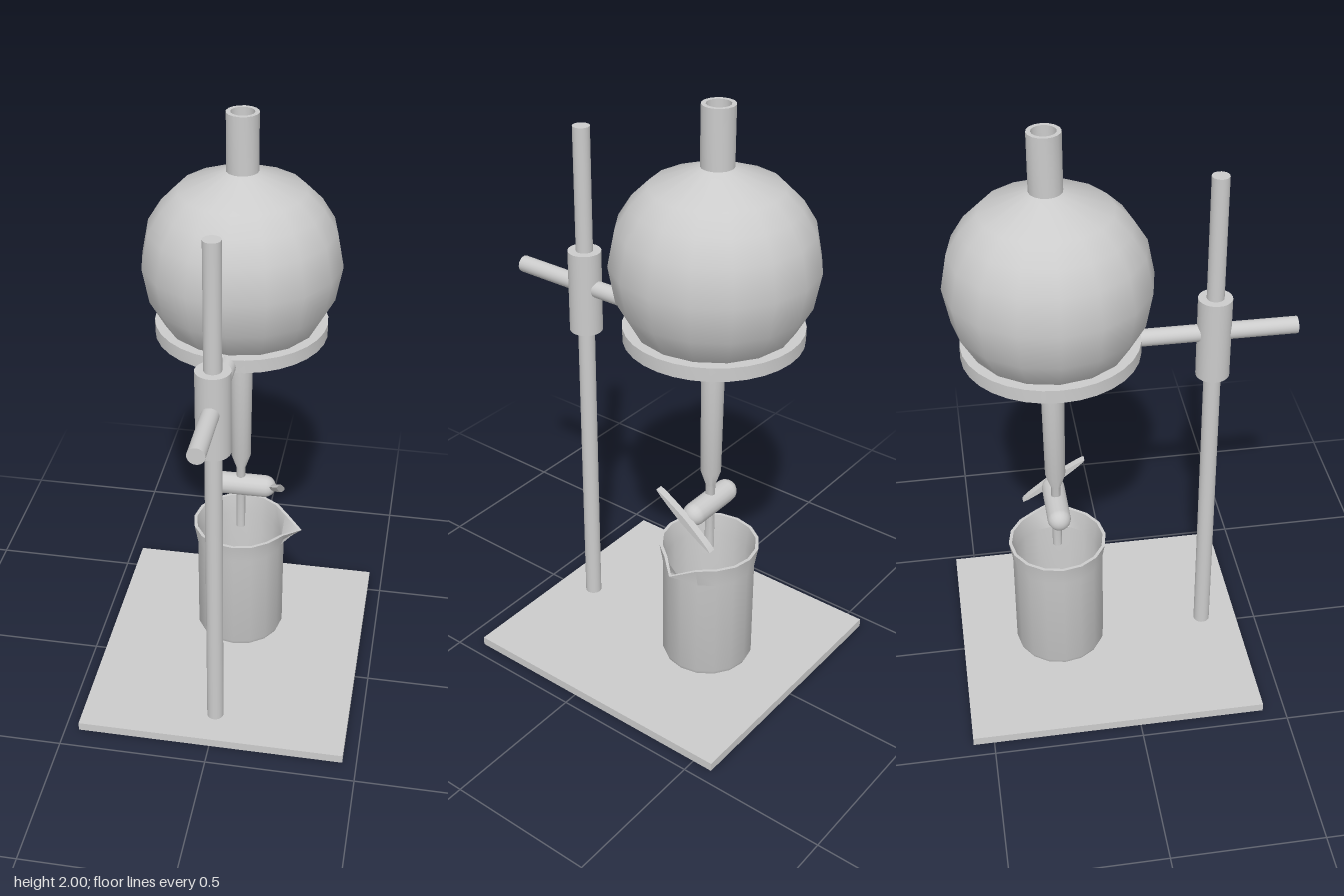
import * as THREE from 'three';
import { toCreasedNormals } from 'three/addons/utils/BufferGeometryUtils.js';

const AXIS_Z = -0.22; // funnel, stopcock and beaker share this axis
const material = new THREE.MeshStandardMaterial({ color: 0xcccccc });

function part(name, geometry, x = 0, y = 0, z = 0) {
  const mesh = new THREE.Mesh(geometry, material);
  mesh.name = name;
  mesh.position.set(x, y, z);
  return mesh;
}

const lathe = (profile, sides) =>
  new THREE.LatheGeometry(profile.map(([r, y]) => new THREE.Vector2(r, y)), sides);

const crease = (geometry) => toCreasedNormals(geometry, 0.75);

// Rim vertices near +x are drawn out and dipped to form the pouring lip
function beakerGeometry() {
  const geometry = lathe([
    [0, 0.03], [0.15, 0.03], [0.156, 0.045], [0.156, 0.41], [0.168, 0.48],
    [0.157, 0.48], [0.146, 0.41], [0.146, 0.045], [0, 0.045],
  ], 16);
  const p = geometry.attributes.position;
  for (let i = 0; i < p.count; i++) {
    if (p.getY(i) < 0.45) continue;
    const angle = Math.abs(Math.atan2(p.getZ(i), p.getX(i)));
    const pull = Math.max(0, 1 - angle / 0.45);
    p.setX(i, p.getX(i) + 0.052 * pull);
    p.setY(i, p.getY(i) - 0.017 * pull);
  }
  return crease(geometry);
}

// Thin lens-shaped blade, extruded across its width
function handleGeometry() {
  const shape = new THREE.Shape();
  shape.moveTo(-0.134, 0);
  shape.quadraticCurveTo(-0.12, -0.008, 0, -0.013);
  shape.quadraticCurveTo(0.12, -0.008, 0.134, 0);
  shape.quadraticCurveTo(0.12, 0.008, 0, 0.013);
  shape.quadraticCurveTo(-0.12, 0.008, -0.134, 0);
  const geometry = new THREE.ExtrudeGeometry(shape, { depth: 0.025, bevelEnabled: false, curveSegments: 6 });
  geometry.translate(0, 0, -0.0125);
  geometry.rotateZ(-0.625);
  geometry.rotateY(Math.PI / 2);
  return crease(geometry);
}

export function createModel() {
  const group = new THREE.Group();
  group.name = 'separatingFunnelStand';

  // Stand
  const stand = new THREE.Group();
  stand.name = 'stand';
  stand.add(part('base', new THREE.BoxGeometry(0.906, 0.03, 0.995), 0, 0.015, -0.0725));
  stand.add(part('rod', new THREE.CylinderGeometry(0.028, 0.028, 1.79, 24), 0, 0.925, 0.3));
  stand.add(part('clamp', new THREE.CylinderGeometry(0.055, 0.055, 0.285, 24), 0, 1.2575, 0.3));
  const arm = new THREE.CylinderGeometry(0.028, 0.028, 0.53, 24).rotateX(Math.PI / 2);
  stand.add(part('arm', arm, 0, 1.275, 0.305));
  const ring = lathe([[0.226, 1.255], [0.283, 1.255], [0.283, 1.3], [0.226, 1.3], [0.226, 1.255]], 32);
  stand.add(part('supportRing', crease(ring), 0, 0, AXIS_Z));
  group.add(stand);

  // Funnel: outer wall from tip to mouth, then the inner wall back down
  const funnel = lathe([
    [0.008, 0.46], [0.016, 0.46], [0.016, 0.71], [0.034, 0.765], [0.038, 1.13],
    [0.2, 1.25], [0.25, 1.295], [0.303, 1.39], [0.325, 1.51], [0.303, 1.625],
    [0.26, 1.695], [0.205, 1.75], [0.052, 1.812], [0.052, 2.0],
    [0.038, 2.0], [0.038, 1.805], [0.195, 1.74], [0.29, 1.62], [0.312, 1.51],
    [0.29, 1.395], [0.19, 1.26], [0.022, 1.135], [0.02, 0.765], [0.008, 0.71], [0.008, 0.46],
  ], 16);
  group.add(part('funnel', crease(funnel), 0, 0, AXIS_Z));

  // Stopcock
  const stopcock = new THREE.Group();
  stopcock.name = 'stopcock';
  stopcock.position.set(0, 0.638, AXIS_Z);
  stopcock.add(part('barrel', new THREE.CapsuleGeometry(0.039, 0.168, 6, 16).rotateZ(Math.PI / 2)));
  stopcock.add(part('handle', handleGeometry(), 0.13, 0, 0.005));
  group.add(stopcock);

  group.add(part('beaker', beakerGeometry(), 0, 0, AXIS_Z));
  return group;
}
